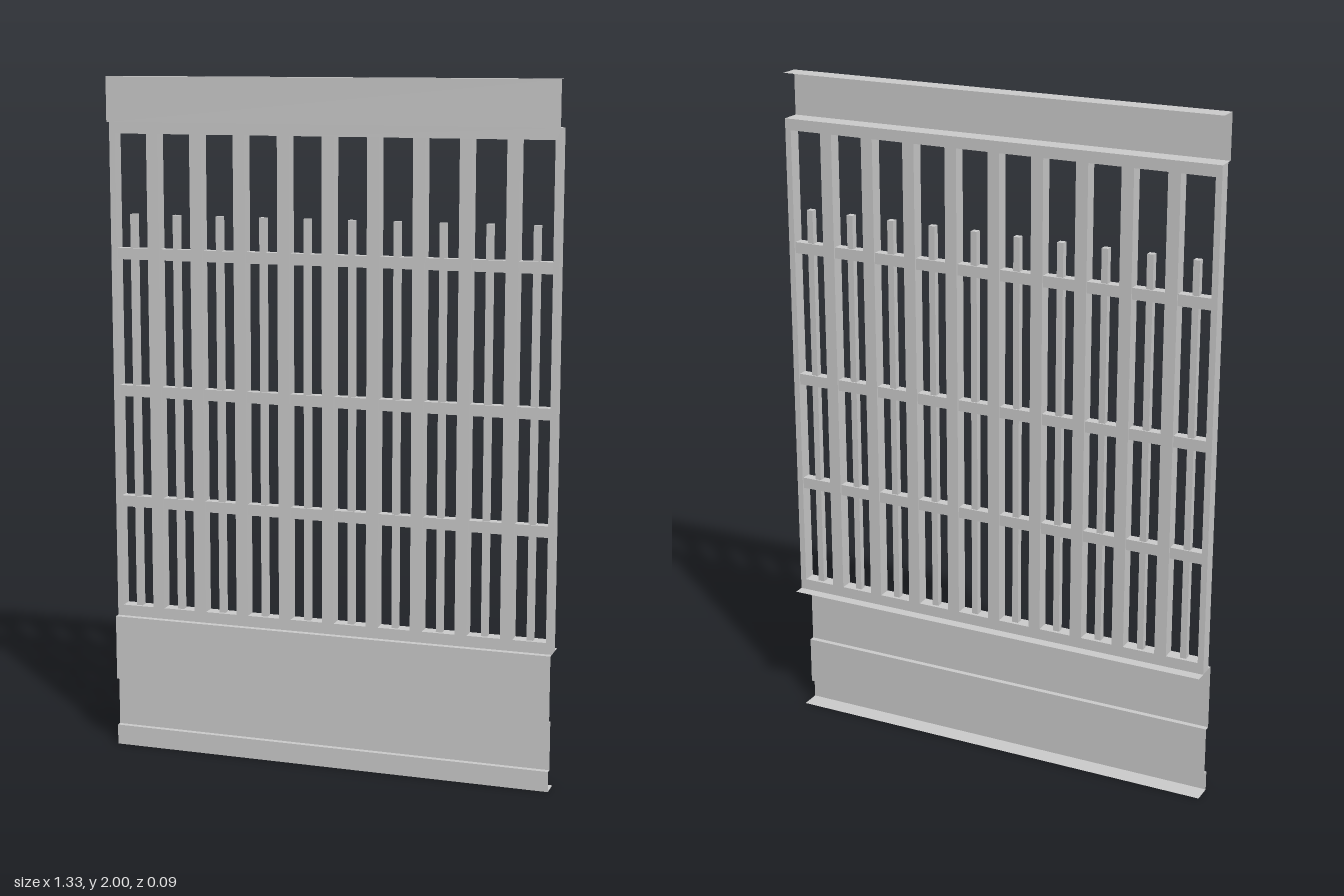
import * as THREE from 'three';

const W = 1.33;            // overall width
const BAYS = 10;
const PITCH = W / BAYS;
const STILE = 0.018;       // half of a mullion
const Z_MID = 0.005;       // middle plane of the lattice

const material = new THREE.MeshStandardMaterial({ color: 0xcccccc, flatShading: true });
const sheetMaterial = new THREE.MeshStandardMaterial({
  color: 0xcccccc, flatShading: true, side: THREE.DoubleSide,
});

function box(name, w, h, d, x, y, z) {
  const mesh = new THREE.Mesh(new THREE.BoxGeometry(w, h, d), material);
  mesh.name = name;
  mesh.position.set(x, y, z);
  return mesh;
}

// Open sheet: a [z, y] profile swept straight across the full width
function foldedSheet(name, profile) {
  const positions = [];
  for (let i = 0; i < profile.length - 1; i++) {
    const [z0, y0] = profile[i];
    const [z1, y1] = profile[i + 1];
    const a = [-W / 2, y0, z0], b = [W / 2, y0, z0];
    const c = [W / 2, y1, z1], d = [-W / 2, y1, z1];
    positions.push(...a, ...b, ...c, ...a, ...c, ...d);
  }
  const geometry = new THREE.BufferGeometry();
  geometry.setAttribute('position', new THREE.Float32BufferAttribute(positions, 3));
  geometry.computeVertexNormals();
  const mesh = new THREE.Mesh(geometry, sheetMaterial);
  mesh.name = name;
  return mesh;
}

function rectangle(path, x0, y0, x1, y1) {
  path.moveTo(x0, y0);
  path.lineTo(x1, y0);
  path.lineTo(x1, y1);
  path.lineTo(x0, y1);
  path.closePath();
  return path;
}

export function createModel() {
  const model = new THREE.Group();
  model.name = 'latticeScreen';

  // Frame with one tall opening per bay
  const shape = rectangle(new THREE.Shape(), -W / 2, 0.4, W / 2, 1.87);
  for (let i = 0; i < BAYS; i++) {
    const x = -W / 2 + i * PITCH;
    shape.holes.push(rectangle(new THREE.Path(), x + STILE, 0.433, x + PITCH - STILE, 1.837));
  }
  const frame = new THREE.Mesh(
    new THREE.ExtrudeGeometry(shape, { depth: 0.04, bevelEnabled: false }), material);
  frame.name = 'frame';
  frame.position.z = -0.015;
  model.add(frame);

  // Slim upright and three crossbars in every bay
  for (let i = 0; i < BAYS; i++) {
    const x = -W / 2 + (i + 0.5) * PITCH;
    const bay = new THREE.Group();
    bay.name = 'bay';
    bay.add(box('upright', 0.019, 1.175, 0.02, x, 1.0175, Z_MID));
    for (const y of [0.752, 1.085, 1.49]) {
      bay.add(box('crossbar', PITCH - 2 * STILE, 0.033, 0.03, x, y, Z_MID));
    }
    model.add(bay);
  }

  // Head panel, folded back along its top
  model.add(foldedSheet('headPanel', [
    [0.025, 1.87], [0.043, 1.87], [0.043, 2], [-0.015, 2],
  ]));

  // Base panel with a recessed band and a sill under the frame
  model.add(foldedSheet('basePanel', [
    [-0.015, 0], [0.043, 0], [0.043, 0.06], [0.027, 0.06],
    [0.027, 0.205], [0.043, 0.205], [0.043, 0.4], [-0.047, 0.4],
  ]));

  return model;
}
